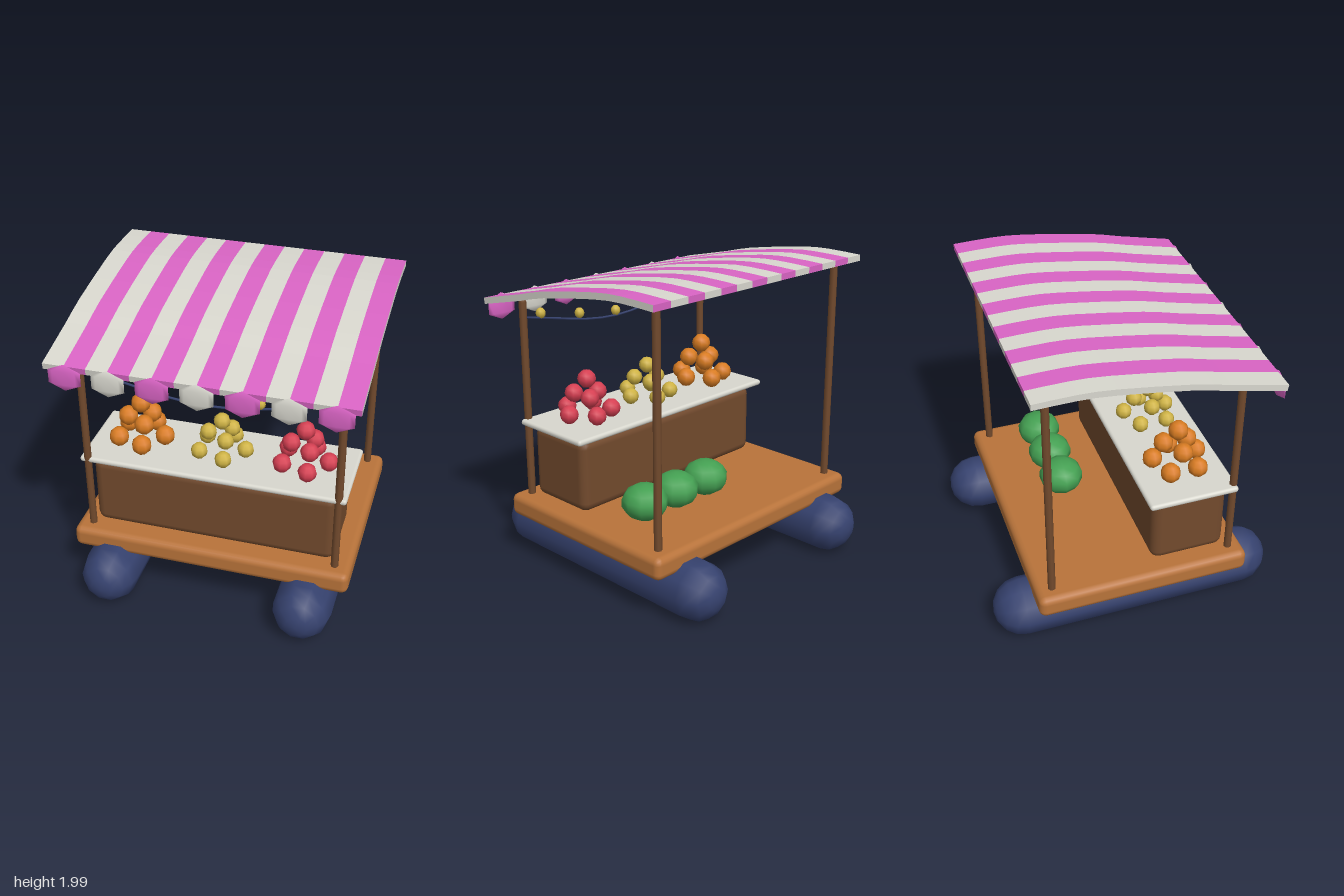
import * as THREE from 'three';
import { RoundedBoxGeometry } from 'three/addons/geometries/RoundedBoxGeometry.js';

const paint = (name, color) => {
  const m = new THREE.MeshStandardMaterial({ color });
  m.name = name;
  return m;
};

export function createModel() {
  const model = new THREE.Group();
  model.name = 'floatingMarketStall';

  const white = paint('canvasWhite', 0xd8d7ce);
  const pink = paint('canvasPink', 0xd964c4);
  const wood = paint('deckWood', 0xb8733a);
  const brown = paint('darkWood', 0x724a2d);
  const navy = paint('floatNavy', 0x36426f);
  const orange = paint('orangeFruit', 0xd97c22);
  const yellow = paint('yellowFruit', 0xcfb344);
  const red = paint('redFruit', 0xd63f52);
  const green = paint('melonGreen', 0x44a052);

  const add = (name, geometry, material, x = 0, y = 0, z = 0, parent = model) => {
    const mesh = new THREE.Mesh(geometry, material);
    mesh.name = name;
    mesh.position.set(x, y, z);
    parent.add(mesh);
    return mesh;
  };
  const group = (name) => {
    const g = new THREE.Group();
    g.name = name;
    model.add(g);
    return g;
  };

  // Pontoons and corner posts
  const pontoon = new THREE.CapsuleGeometry(0.19, 1.51, 4, 10).rotateX(Math.PI / 2);
  const post = (top) => new THREE.CapsuleGeometry(0.025, top - 0.45, 2, 8);
  for (const side of [-1, 1]) {
    add('pontoon', pontoon, navy, side * 0.65, 0.19, 0);
    add('frontPost', post(1.79), brown, side * 0.815, (0.4 + 1.79) / 2, 0.6);
    add('backPost', post(1.955), brown, side * 0.815, (0.4 + 1.955) / 2, -0.595);
  }

  // Deck, counter and counter top
  add('deck', new RoundedBoxGeometry(1.84, 0.15, 1.4, 2, 0.045), wood, 0, 0.385, 0);
  add('counter', new RoundedBoxGeometry(1.6, 0.49, 0.495, 2, 0.06), brown, 0, 0.705, 0.328);
  add('counterTop', new RoundedBoxGeometry(1.73, 0.04, 0.585, 2, 0.019), white, 0, 0.97, 0.328);

  // Curved awning, one extruded strip per stripe; its outer ends are white
  const awning = group('awning');
  const ridge = new THREE.SplineCurve([
    [0.825, 1.778], [0.457, 1.86], [0.23, 1.915], [-0.215, 1.983], [-0.443, 1.999], [-0.705, 1.993],
  ].map(([z, y]) => new THREE.Vector2(z, y))).getPoints(10);
  const under = ridge.map((p) => new THREE.Vector2(p.x - 0.006, p.y - 0.04)).reverse();
  under[0].x = -0.705;
  const profile = new THREE.Shape([...ridge, ...under]);
  const stripes = 14, stripeWidth = 1.89 / stripes;
  const strip = new THREE.ExtrudeGeometry(profile, { depth: stripeWidth, bevelEnabled: false });
  strip.rotateY(-Math.PI / 2);
  for (let i = 0; i < stripes; i++) {
    const color = i % 2 ? pink : white;
    add('awningStripe', strip, [white, color], -0.945 + (i + 1) * stripeWidth, 0, 0, awning);
  }

  // Scalloped flaps along the front edge
  const flap = new THREE.SphereGeometry(1, 8, 3).scale(0.118, 0.088, 0.017);
  for (let i = 0; i < 7; i++) {
    add('awningFlap', flap, i % 2 ? white : pink, (i - 3) * 0.27, 1.702, 0.827, awning);
  }

  // Sagging string with bulbs
  const lights = group('stringLights');
  const sag = new THREE.CatmullRomCurve3(
    [[-0.81, 1.66], [-0.54, 1.604], [-0.27, 1.548], [0, 1.525], [0.27, 1.548], [0.54, 1.604], [0.81, 1.66]]
      .map(([x, y]) => new THREE.Vector3(x, y, 0.625)));
  add('string', new THREE.TubeGeometry(sag, 12, 0.008, 5), navy, 0, 0, 0, lights);
  const bulb = new THREE.SphereGeometry(0.033, 8, 6).scale(1, 1.1, 1);
  for (const [x, y] of [[0, 1.56], [0.325, 1.6], [0.65, 1.658]]) {
    for (const side of x ? [-1, 1] : [1]) add('bulb', bulb, yellow, side * x, y, 0.632, lights);
  }

  // Fruit heaps: a ring of five, a ring of three and one on top
  const heap = (name, x, r, material) => {
    const g = group(name);
    const fruit = new THREE.SphereGeometry(r, 8, 6);
    [[5, 0.155, 0], [3, 0.09, Math.PI], [1, 0, 0]].forEach(([count, radius, start], layer) => {
      for (let i = 0; i < count; i++) {
        const a = start + (i / count) * Math.PI * 2;
        add('fruit', fruit, material, x + Math.cos(a) * radius,
          0.99 + r * (1 + 1.7 * layer), 0.328 + Math.sin(a) * radius, g);
      }
    });
  };
  heap('orangeHeap', -0.54, 0.065, orange);
  heap('yellowHeap', 0, 0.055, yellow);
  heap('redHeap', 0.54, 0.061, red);

  // Melons on the deck behind the counter
  const melon = new THREE.SphereGeometry(0.15, 10, 7).scale(1, 0.78, 1);
  for (const x of [0.055, 0.33, 0.605]) add('melon', melon, green, x, 0.603, -0.268);

  return model;
}
